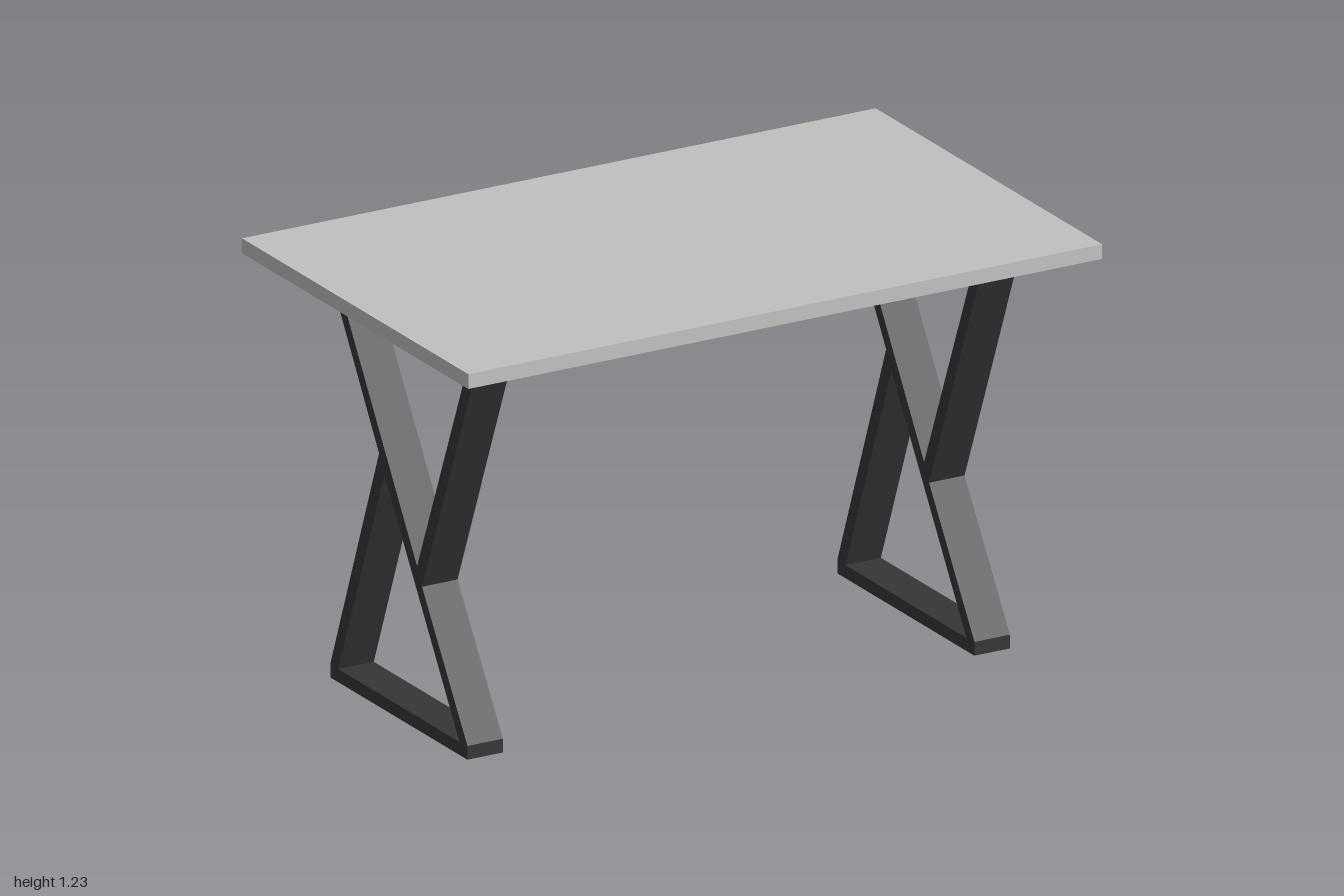
import * as THREE from 'three';

export function createModel() {
  const table = new THREE.Group();
  table.name = 'table';
  const topGrey = new THREE.MeshStandardMaterial({ color: 0xc0c0c0 });
  topGrey.name = 'light grey';
  const legGrey = new THREE.MeshStandardMaterial({ color: 0x363636 });
  legGrey.name = 'charcoal';

  // Table top slab
  const top = new THREE.Mesh(new THREE.BoxGeometry(2, 0.043, 1.222), topGrey);
  top.name = 'tableTop';
  top.position.y = 1.2085;
  table.add(top);

  // Leg frame profile as [z, y] points: outline and two triangular openings
  const toPoints = (list) => list.map(([z, y]) => new THREE.Vector2(-z, y));
  const frame = new THREE.Shape(toPoints([
    [0.36, 0], [-0.38, 0], [-0.38, 0.04], [-0.117, 0.737], [-0.392, 1.187],
    [0.422, 1.187], [0.115, 0.424], [0.36, 0.04],
  ]));
  frame.holes.push(
    new THREE.Path(toPoints([[0.356, 1.132], [-0.32, 1.132], [0.088, 0.475]])),
    new THREE.Path(toPoints([[0.317, 0.038], [-0.337, 0.038], [-0.088, 0.684]])),
  );
  const width = 0.112;
  const frameGeometry = new THREE.ExtrudeGeometry(frame, { depth: width, bevelEnabled: false });
  frameGeometry.translate(0, 0, -width / 2);
  frameGeometry.rotateY(Math.PI / 2);

  // One frame near each end
  for (const [name, x] of [['leftLegFrame', 0.8], ['rightLegFrame', -0.8]]) {
    const leg = new THREE.Mesh(frameGeometry, legGrey);
    leg.name = name;
    leg.position.x = x;
    table.add(leg);
  }
  return table;
}
